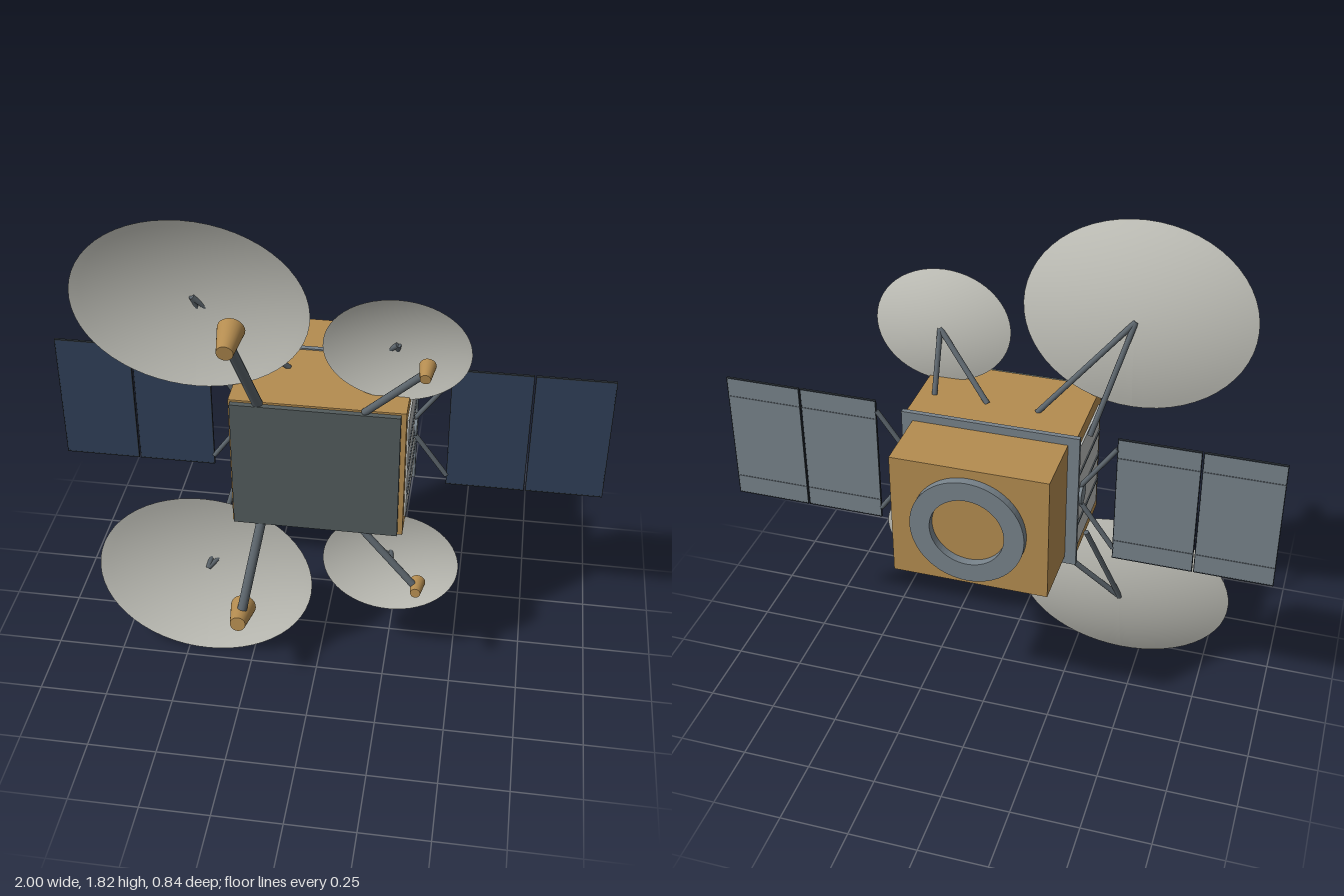
import * as THREE from 'three';

const CY = 0.923; // height of the mirror plane

function mat(name, color, side = THREE.FrontSide) {
  const m = new THREE.MeshStandardMaterial({ color, side });
  m.name = name;
  return m;
}

export function createModel() {
  const root = new THREE.Group();
  root.name = 'satellite';
  const gold = mat('gold foil', 0xb48c50);
  const plateGrey = mat('dark grey plate', 0x535c5d);
  const steel = mat('steel grey', 0x77828a);
  const strutGrey = mat('strut grey', 0x5c656c);
  const radiatorWhite = mat('radiator white', 0xbcbebb);
  const dishWhite = mat('dish white', 0xc6c6be, THREE.DoubleSide);
  const navy = mat('solar navy', 0x2f3f58);
  const dark = mat('dark trim', 0x2b3238);

  const add = (name, geo, material, x = 0, y = 0, z = 0, parent = root) => {
    const m = new THREE.Mesh(geo, material);
    m.name = name;
    m.position.set(x, y, z);
    parent.add(m);
    return m;
  };
  const box = (name, material, w, h, d, x, y, z, parent) =>
    add(name, new THREE.BoxGeometry(w, h, d), material, x, y, z, parent);

  // Tapered rod between two points
  const rod = (name, a, b, r0, material, r1 = r0, seg = 12) => {
    const A = new THREE.Vector3(...a), B = new THREE.Vector3(...b);
    const dir = B.clone().sub(A);
    const m = add(name, new THREE.CylinderGeometry(r1, r0, dir.length(), seg), material);
    m.position.copy(A).add(B).multiplyScalar(0.5);
    m.quaternion.setFromUnitVectors(new THREE.Vector3(0, 1, 0), dir.normalize());
    return m;
  };

  // Main bus
  box('mainBody', gold, 0.605, 0.515, 0.36, 0, CY, 0.035);
  box('frontPlate', plateGrey, 0.58, 0.5, 0.02, -0.005, CY, 0.225);
  box('flange', steel, 0.63, 0.525, 0.018, 0, CY, -0.144);
  box('rearBody', gold, 0.55, 0.465, 0.24, 0, CY, -0.27);

  // Docking ring at the rear
  const ringShape = new THREE.Shape().absarc(0, 0, 0.2, 0, Math.PI * 2, false);
  ringShape.holes.push(new THREE.Path().absarc(0, 0, 0.13, 0, Math.PI * 2, true));
  add('rearRing', new THREE.ExtrudeGeometry(ringShape, { depth: 0.03, bevelEnabled: false, curveSegments: 32 }),
    steel, 0, CY, -0.42);

  // Both sides: radiator, hub, yoke and solar wing
  for (const s of [1, -1]) {
    box('radiator', radiatorWhite, 0.008, 0.41, 0.31, s * 0.305, CY, 0.02);
    for (const y of [-0.105, 0, 0.1])
      box('radiatorRib', strutGrey, 0.012, 0.008, 0.31, s * 0.307, CY + y, 0.02);

    const hub = add('wingHub', new THREE.CylinderGeometry(0.036, 0.036, 0.02, 16), steel, s * 0.31, CY, -0.09);
    hub.rotation.z = Math.PI / 2;
    for (const v of [1, -1])
      rod('yokeArm', [s * 0.305, CY + v * 0.028, -0.09], [s * 0.432, CY + v * 0.207, -0.09], 0.009, strutGrey);

    const wing = new THREE.Group();
    wing.name = 'solarWing';
    wing.position.set(0, CY + 0.002, -0.092);
    root.add(wing);
    for (const [x0, x1] of [[0.432, 0.717], [0.722, 1.0]]) {
      const w = x1 - x0, x = s * (x0 + x1) / 2;
      box('solarCells', navy, w - 0.006, 0.49, 0.004, x, 0, 0.002, wing);
      box('panelBack', steel, w - 0.006, 0.49, 0.004, x, 0, -0.002, wing);
      for (const e of [1, -1]) {
        box('panelEdge', dark, w, 0.004, 0.009, x, e * 0.246, 0, wing);
        box('panelSideEdge', dark, 0.003, 0.496, 0.009, x + e * (w / 2 - 0.0015), 0, 0, wing);
        box('panelSeam', strutGrey, w, 0.004, 0.002, x, e * 0.172, -0.0045, wing);
      }
    }
  }

  // Shallow elliptical reflector opening to +z
  const dishGeometry = (rx, ry, depth) => {
    const pts = [];
    for (let i = 0; i <= 12; i++) pts.push(new THREE.Vector2(i / 12, depth * (i / 12) ** 2));
    const g = new THREE.LatheGeometry(pts, 56);
    g.scale(rx, 1, ry);
    g.rotateX(Math.PI / 2);
    g.computeVertexNormals();
    return g;
  };

  // Antennas: dy and strut/feed heights are offsets from the mirror plane
  const antennas = [
    {
      name: 'large', rx: 0.403, ry: 0.335, depth: 0.06, x: -0.43, dy: 0.585, z: 0.108,
      feet: [[-0.322, 0.205, -0.03], [-0.13, 0.255, -0.015]],
      boom: [[-0.2, 0.25, 0.215], [-0.256, 0.572, 0.37], 0.018],
      horn: [[-0.26, 0.588, 0.302], [-0.258, 0.57, 0.42], 0.046, 0.028],
    },
    {
      name: 'small', rx: 0.247, ry: 0.207, depth: 0.037, x: 0.257, dy: 0.457, z: 0.104,
      feet: [[0.05, 0.255, -0.01], [0.245, 0.255, -0.005]],
      boom: [[0.16, 0.25, 0.215], [0.362, 0.455, 0.262], 0.013],
      horn: [[0.365, 0.46, 0.224], [0.363, 0.452, 0.297], 0.028, 0.018],
    },
  ];
  for (const a of antennas) {
    const geo = dishGeometry(a.rx, a.ry, a.depth);
    for (const s of [1, -1]) {
      const at = ([x, y, z]) => [x, CY + s * y, z];
      const dish = add(a.name + 'Dish', geo, dishWhite, a.x, CY + s * a.dy, a.z);
      dish.rotation.x = s * 0.114;
      for (const f of a.feet)
        rod(a.name + 'DishStrut', at(f), at([a.x, a.dy, a.z + 0.004]), 0.01, strutGrey);
      rod(a.name + 'FeedBoom', at(a.boom[0]), at(a.boom[1]), a.boom[2], strutGrey);
      rod(a.name + 'FeedHorn', at(a.horn[0]), at(a.horn[1]), a.horn[2], gold, a.horn[3], 24);
    }
  }

  return root;
}
